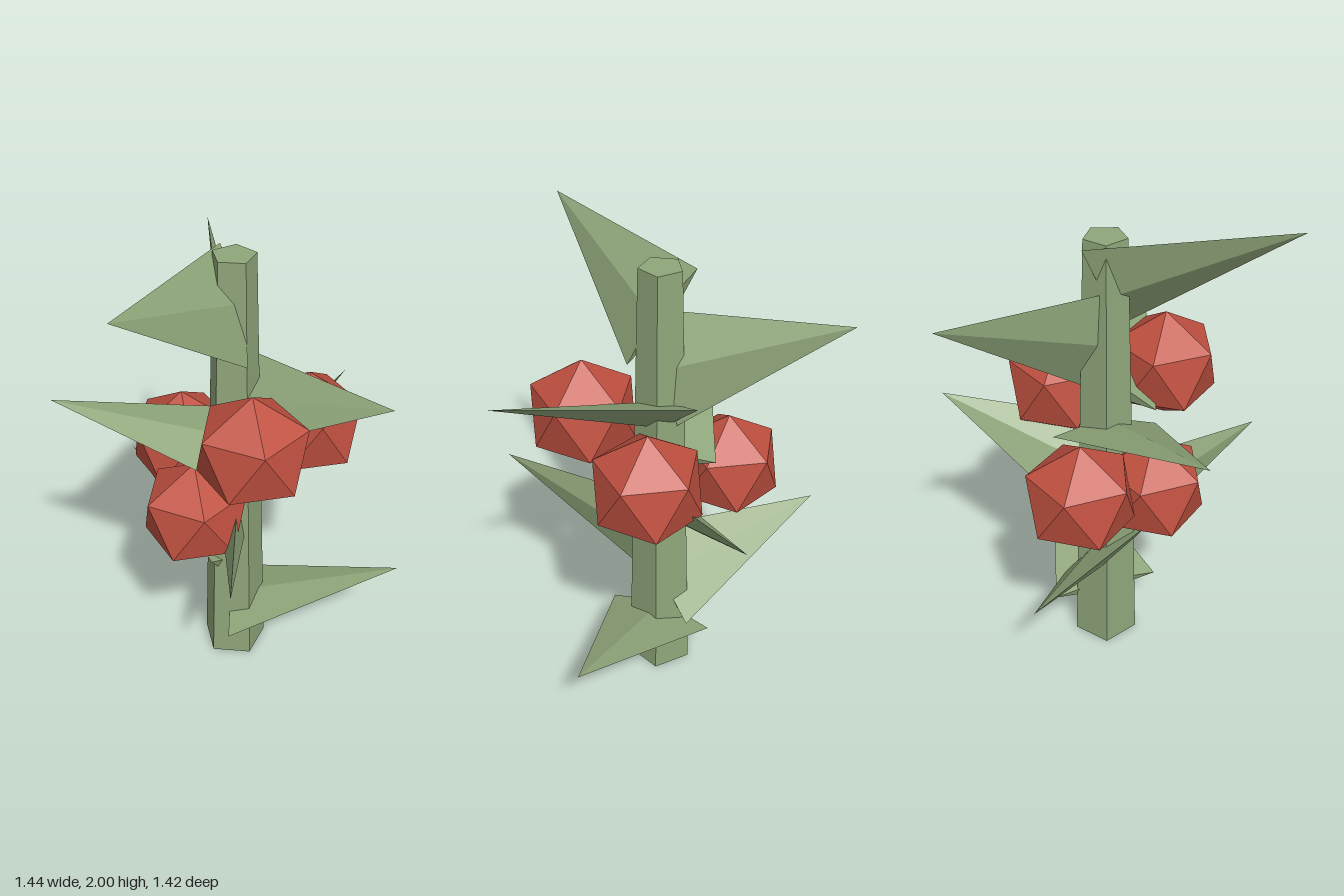
import * as THREE from 'three';

export function createModel() {
  const model = new THREE.Group();
  model.name = 'fruitingStalk';
  const green = new THREE.MeshStandardMaterial({ color: 0x8fa67a, flatShading: true });
  green.name = 'leafGreen';
  const red = new THREE.MeshStandardMaterial({ color: 0xbf5040, flatShading: true });
  red.name = 'fruitRed';

  const axisX = -0.01, axisZ = -0.015;
  const add = (name, geometry, material, x, y, z) => {
    const mesh = new THREE.Mesh(geometry, material);
    mesh.name = name;
    mesh.position.set(x, y, z);
    model.add(mesh);
    return mesh;
  };

  // Tapered five-sided stalk with one corner to the back
  const stalkGeo = new THREE.CylinderGeometry(0.088, 0.143, 1.95, 5);
  stalkGeo.rotateY(Math.PI);
  add('stalk', stalkGeo, green, axisX, 0.975, axisZ);

  // Flattened four-sided leaves spiralling up by the golden angle
  const reach = 0.726, rise = 0.262, length = Math.hypot(reach, rise);
  const leafGeo = new THREE.ConeGeometry(0.24, length, 4);
  leafGeo.scale(0.22, 1, 1);
  leafGeo.translate(0, length / 2, 0);
  const up = new THREE.Vector3(0, 1, 0);
  for (let i = 0; i < 8; i++) {
    const a = i * 2.4;
    const dir = new THREE.Vector3(reach * Math.cos(a), rise, -reach * Math.sin(a)).normalize();
    const leaf = add(`leaf${i + 1}`, leafGeo, green, axisX, 0.218 + i * 0.2172, axisZ);
    leaf.quaternion.setFromUnitVectors(up, dir);
  }

  // Faceted fruits, each with a corner straight up
  const fruitGeo = new THREE.IcosahedronGeometry(0.24, 0);
  fruitGeo.rotateZ(-Math.atan(2 / (1 + Math.sqrt(5))));
  [
    [-0.155, 0.86, 0.14],
    [-0.255, 0.975, -0.21],
    [0.285, 1.17, -0.108],
    [0.09, 1.29, 0.285],
  ].forEach((p, i) => add(`fruit${i + 1}`, fruitGeo, red, ...p));

  return model;
}
